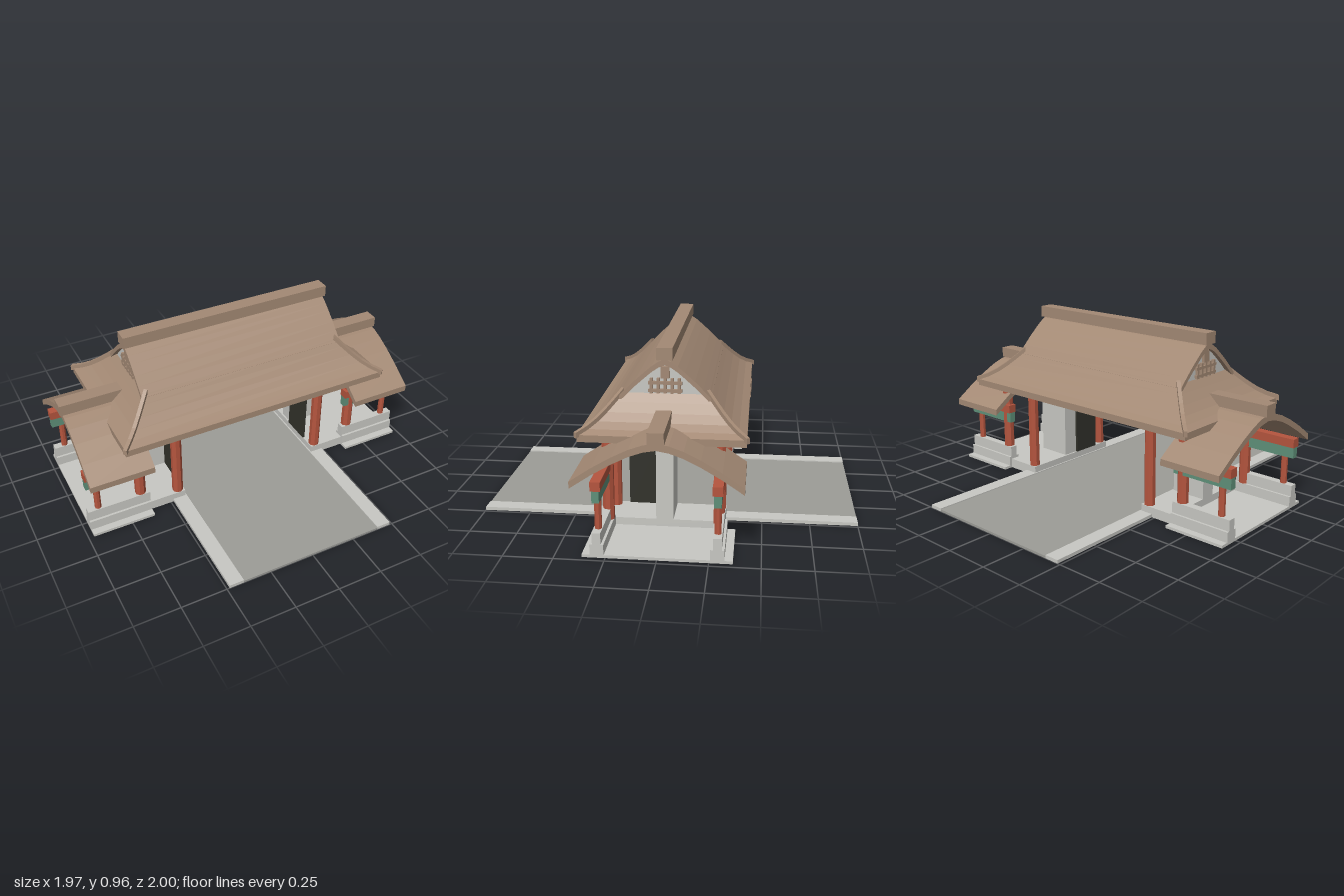
import * as THREE from 'three';

const mat = (name, color) => Object.assign(new THREE.MeshStandardMaterial({ color }), { name });

export function createModel() {
  const root = new THREE.Group();
  root.name = 'gatehouse';
  const roof = mat('brownRoof', 0xa38974);
  const stone = mat('paleStone', 0xc8c8c3);
  const road = mat('greyPaving', 0x9c9c97);
  const red = mat('redTimber', 0xb5553e);
  const green = mat('greenTimber', 0x5f9079);
  const dark = mat('darkDoor', 0x32322b);

  const add = (name, geo, m) => {
    const mesh = new THREE.Mesh(geo, m);
    mesh.name = name;
    root.add(mesh);
    return mesh;
  };
  // Box given by its limits on each axis
  const box = (name, m, x0, x1, y0, y1, z0, z1) => {
    const g = new THREE.BoxGeometry(Math.abs(x1 - x0), y1 - y0, Math.abs(z1 - z0));
    add(name, g.translate((x0 + x1) / 2, (y0 + y1) / 2, (z0 + z1) / 2), m);
  };
  const column = (name, x, z, r, y0, y1) => {
    const g = new THREE.CylinderGeometry(r, r, y1 - y0, 8).rotateY(Math.PI / 8).toNonIndexed();
    g.computeVertexNormals();
    add(name, g.translate(x, (y0 + y1) / 2, z), red);
  };
  // Polygon of [z, y] points extruded along x
  const alongX = (name, m, pts, x0, x1) => {
    const shape = new THREE.Shape(pts.map(([u, v]) => new THREE.Vector2(-u, v)));
    const lo = Math.min(x0, x1);
    const g = new THREE.ExtrudeGeometry(shape, { depth: Math.abs(x1 - x0), bevelEnabled: false });
    add(name, g.rotateY(Math.PI / 2).translate(lo, 0, 0), m);
  };
  // Mirrors a half profile that starts at z = 0
  const mirror = (half) => [...half.slice(1).reverse().map(([z, y]) => [-z, y]), ...half];
  const arch = (half, t) => {
    const top = mirror(half);
    return [...top, ...top.map(([z, y]) => [z, y - t]).reverse()];
  };

  // Main roof: height for each inset from the eave
  const X = 0.77, Z = 0.415;
  const lower = [[0, 0.553], [0.04, 0.572], [0.08, 0.6], [0.12, 0.637], [0.16, 0.68], [0.195, 0.72]];
  const upper = [[0, 0.9], [0.03, 0.889], [0.065, 0.865], [0.1, 0.835], [0.15, 0.79], [0.19, 0.75], [0.233, 0.706]];

  const pos = [];
  const ring = ([d, y]) => [[1, 1], [1, -1], [-1, -1], [-1, 1]].map(([sx, sz]) => [sx * (X - d), y, sz * (Z - d)]);
  for (let i = 0; i < lower.length - 1; i++) {
    const a = ring(lower[i]), b = ring(lower[i + 1]);
    for (let k = 0; k < 4; k++) {
      const n = (k + 1) % 4;
      pos.push(...a[k], ...a[n], ...b[n], ...a[k], ...b[n], ...b[k]);
    }
  }
  const skirt = new THREE.BufferGeometry();
  skirt.setAttribute('position', new THREE.Float32BufferAttribute(pos, 3));
  skirt.computeVertexNormals();
  add('roofSkirt', skirt, roof);
  box('eaveSlab', roof, -X, X, 0.517, 0.553, -Z, Z);
  alongX('upperRoof', roof, arch(upper, 0.03), -0.6, 0.6);
  box('mainRidge', roof, -0.61, 0.61, 0.897, 0.96, -0.04, 0.04);
  box('ceilingFrame', red, -0.7, 0.7, 0.49, 0.517, -0.305, 0.305);

  // Curved hip ridges on the four corners
  const hip = [[-0.006, 0.55], ...lower.slice(1), [0.2, 0.725]];
  const hipShape = new THREE.Shape([
    ...hip.map(([d, y]) => new THREE.Vector2(d * Math.SQRT2, y - 0.012)),
    ...hip.map(([d, y]) => new THREE.Vector2(d * Math.SQRT2, y + 0.018)).reverse(),
  ]);
  for (const sx of [-1, 1]) for (const sz of [-1, 1]) {
    const g = new THREE.ExtrudeGeometry(hipShape, { depth: 0.02, bevelEnabled: false }).translate(0, 0, -0.01);
    g.rotateY(Math.atan2(sz, -sx)).translate(sx * X, 0, sz * Z);
    add('hipRidge', g, roof);
  }

  // Road with side strips
  box('road', road, -0.405, 0.405, 0, 0.012, -1, 1);

  const wingRoof = [[0, 0.595], [0.06, 0.585], [0.13, 0.56], [0.21, 0.52], [0.31, 0.461], [0.415, 0.39]];
  for (const s of [-1, 1]) {
    box('roadCurb', stone, s * 0.405, s * 0.485, 0, 0.018, -1, 1);
    box('platform', stone, s * 0.412, s * 0.62, 0, 0.055, -0.31, 0.31);
    box('gateWall', stone, s * 0.422, s * 0.62, 0.055, 0.49, -0.045, 0.045);
    box('openDoor', dark, s * 0.41, s * 0.423, 0.055, 0.43, 0.046, 0.212);

    // Gable wall with timber lattice
    const pediment = mirror(upper.map(([z, y]) => [z, y - 0.025]));
    alongX('gableWall', stone, pediment, s * 0.555, s * 0.572);
    const lattice = (y0, y1, z0, z1) => box('gableLattice', roof, s * 0.572, s * 0.588, y0, y1, z0, z1);
    lattice(0.728, 0.743, -0.085, 0.085);
    lattice(0.768, 0.783, -0.085, 0.085);
    lattice(0.8, 0.86, -0.022, 0.022);
    for (const z of [-0.07, -0.035, 0, 0.035, 0.07]) lattice(0.722, 0.8, z - 0.007, z + 0.007);

    // Side wing
    box('wingFloor', stone, s * 0.62, s * 0.97, 0, 0.015, -0.365, 0.365);
    alongX('wingRoof', roof, arch(wingRoof, 0.035), s * 0.62, s * 0.972);
    box('wingRidge', roof, s * 0.635, s * 0.985, 0.59, 0.65, -0.04, 0.04);
    for (const f of [-1, 1]) {
      box('parapetBase', stone, s * 0.62, s * 0.972, 0.015, 0.07, f * 0.257, f * 0.325);
      box('parapet', stone, s * 0.62, s * 0.972, 0.07, 0.13, f * 0.27, f * 0.312);
      box('greenBeam', green, s * 0.62, s * 0.97, 0.285, 0.345, f * 0.272, f * 0.308);
      box('redBeam', red, s * 0.62, s * 0.972, 0.345, 0.392, f * 0.265, f * 0.315);
      column('gateColumn', s * 0.445, f * 0.28, 0.03, 0.055, 0.49);
      column('cornerColumn', s * 0.665, f * 0.283, 0.03, 0.07, 0.49);
      column('wingColumn', s * 0.91, f * 0.29, 0.018, 0.13, 0.285);
    }
  }
  return root;
}
